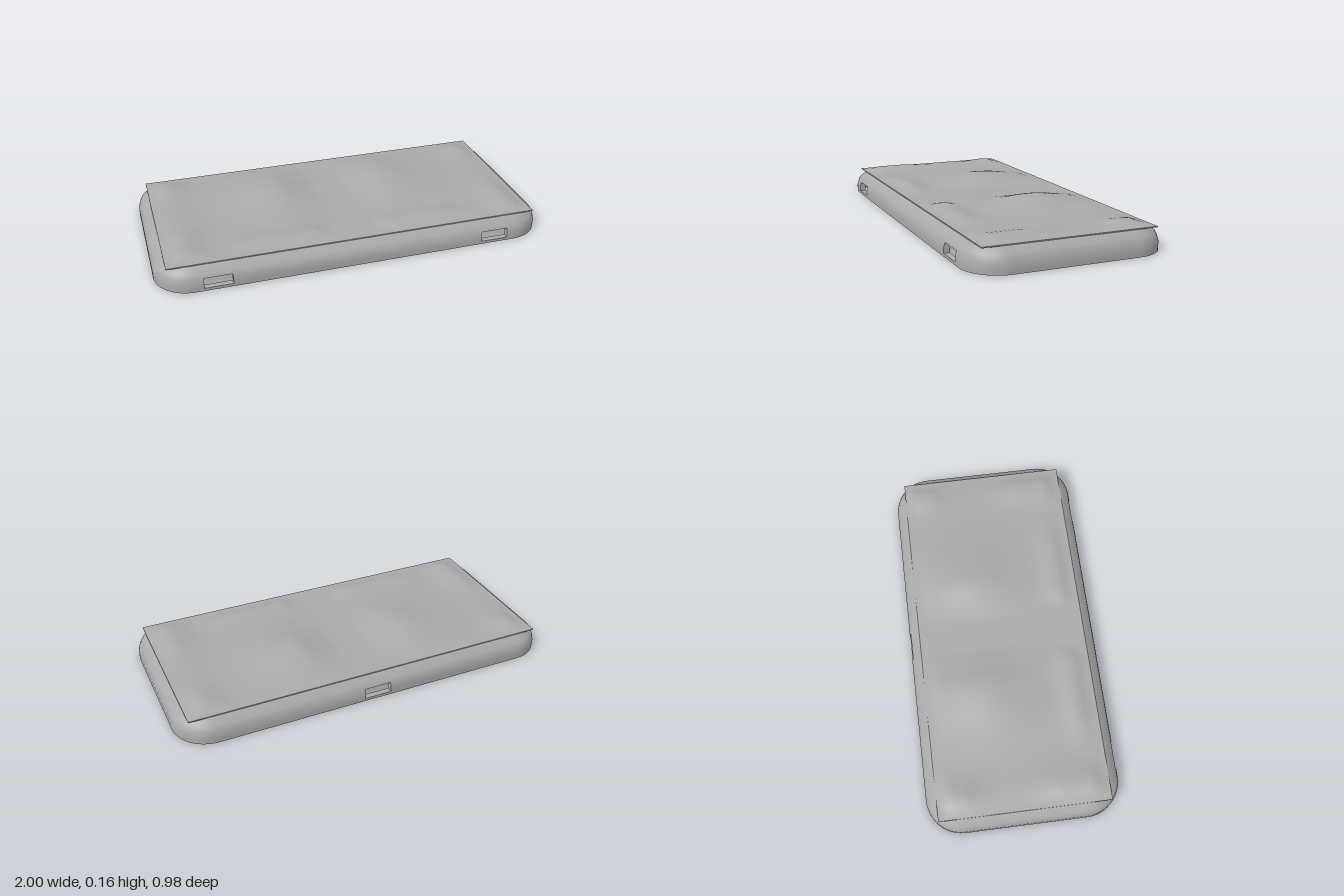
import * as THREE from 'three';
import { toCreasedNormals } from 'three/addons/utils/BufferGeometryUtils.js';

const CORNER = { x: 0.82, z: 0.31, r: 0.18 };
const SLOT_LOW = 0.015, SLOT_HIGH = 0.065;

// Wall sections as [inset, height]
const OUTER = [[0, 0], [0, SLOT_LOW], [0, 0.04], [0.007, SLOT_HIGH], [0.017, 0.085], [0.055, 0.113]];
const INNER = [[0.03, 0], [0.03, SLOT_LOW], [0.03, 0.04], [0.034, SLOT_HIGH], [0.045, 0.085], [0.07, 0.102]];

// Rounded outline: centre point plus outward direction; slot marks the start of an opening
function makeOutline() {
  const pts = [];
  const arc = (sx, sz, start) => {
    for (let i = 0; i <= 12; i++) {
      const a = start + (i / 12) * Math.PI / 2;
      pts.push({ x: sx * CORNER.x, z: sz * CORNER.z, nx: Math.cos(a), nz: Math.sin(a), slot: false });
    }
  };
  const edge = (side, xs, slots) => xs.forEach((x, i) =>
    pts.push({ x, z: side * CORNER.z, nx: 0, nz: side, slot: slots.includes(i) }));
  arc(1, 1, 0);
  edge(1, [0.78, 0.64, -0.64, -0.78], [0, 2]);
  arc(-1, 1, Math.PI / 2);
  arc(-1, -1, Math.PI);
  edge(-1, [-0.07, 0.07], [0]);
  arc(1, -1, Math.PI * 1.5);
  return pts;
}

function makeShell() {
  const outline = makeOutline(), n = outline.length;
  const path = [...INNER].reverse().concat(OUTER);
  const pos = [];
  const point = (section, j) => {
    const o = outline[j % n], r = CORNER.r - section[0];
    return [o.x + o.nx * r, section[1], o.z + o.nz * r];
  };
  const quad = (a, b, c, d) => pos.push(...a, ...b, ...c, ...a, ...c, ...d);
  const inSlot = s => s[1] >= SLOT_LOW && s[1] <= SLOT_HIGH;

  for (let j = 0; j < n; j++) {
    const slot = outline[j].slot;
    // Inner wall, bottom rim and outer wall, left open at the slots
    for (let i = 0; i < path.length - 1; i++) {
      if (slot && inSlot(path[i]) && inSlot(path[i + 1])) continue;
      quad(point(path[i], j), point(path[i + 1], j), point(path[i + 1], j + 1), point(path[i], j + 1));
    }
    // Flat ceiling
    pos.push(0, path[0][1], 0, ...point(path[0], j), ...point(path[0], j + 1));
    // Slot linings
    if (slot) {
      for (let i = 1; i < 3; i++) {
        quad(point(INNER[i], j), point(INNER[i + 1], j), point(OUTER[i + 1], j), point(OUTER[i], j));
        quad(point(OUTER[i], j + 1), point(OUTER[i + 1], j + 1), point(INNER[i + 1], j + 1), point(INNER[i], j + 1));
      }
      quad(point(OUTER[1], j), point(OUTER[1], j + 1), point(INNER[1], j + 1), point(INNER[1], j));
      quad(point(INNER[3], j), point(INNER[3], j + 1), point(OUTER[3], j + 1), point(OUTER[3], j));
    }
  }
  const geo = new THREE.BufferGeometry();
  geo.setAttribute('position', new THREE.Float32BufferAttribute(pos, 3));
  return toCreasedNormals(geo, 0.5);
}

// Height of the sculpted top above its flat base, mirrored in x
function relief(px, z) {
  const x = Math.abs(px);
  const bell = (v, c, s) => Math.exp(-(((v - c) / s) ** 2));
  const step = THREE.MathUtils.smoothstep;
  const palm = 0.046 * bell(x, 0.3, x < 0.3 ? 0.14 : 0.22) * bell(z, -0.12, 0.23);
  const frontRidge = 0.017 * bell(z, 0.33, 0.07) * step(x, 0.1, 0.2) * (1 - step(x, 0.45, 0.7));
  const outer = 0.021 * bell(x, 0.84, 0.09) * Math.min(1, bell(z, 0.27, 0.17) + bell(z, -0.34, 0.11) + 0.2);
  const border = step(0.945 - x, 0, 0.08) * step(0.435 - Math.abs(z), 0, 0.09) * step(x, 0.06, 0.14);
  return (palm + frontRidge + outer) * border;
}

function makeTop() {
  const geo = new THREE.BoxGeometry(1.89, 0.005, 0.87, 90, 1, 48);
  geo.translate(0, 0.1155, 0);
  const p = geo.attributes.position;
  for (let i = 0; i < p.count; i++) {
    if (p.getY(i) > 0.1155) p.setY(i, p.getY(i) + relief(p.getX(i), p.getZ(i)));
  }
  geo.computeVertexNormals();
  return geo;
}

// Hollow screw post hanging from the ceiling
function makePost() {
  const profile = [[0.016, 0.07], [0.016, 0.02], [0.034, 0.02], [0.034, 0.104]];
  const tube = new THREE.LatheGeometry(profile.map(([r, y]) => new THREE.Vector2(r, y)), 24);
  return toCreasedNormals(tube, 0.5);
}

export function createModel() {
  const group = new THREE.Group();
  const grey = new THREE.MeshStandardMaterial({ color: 0xaaaaaa, side: THREE.DoubleSide });
  grey.name = 'grey plastic';
  const add = (name, geo, x = 0, z = 0) => {
    const mesh = new THREE.Mesh(geo, grey);
    mesh.name = name;
    mesh.position.set(x, 0, z);
    group.add(mesh);
  };

  add('shell', makeShell());
  add('sculptedTop', makeTop());

  const post = makePost();
  for (const side of [1, -1]) {
    add('frontCornerPost', post, side * 0.86, 0.355);
    add('backCornerPost', post, side * 0.86, -0.37);
    add('frontPost', post, side * 0.35, 0.395);
  }
  return group;
}
